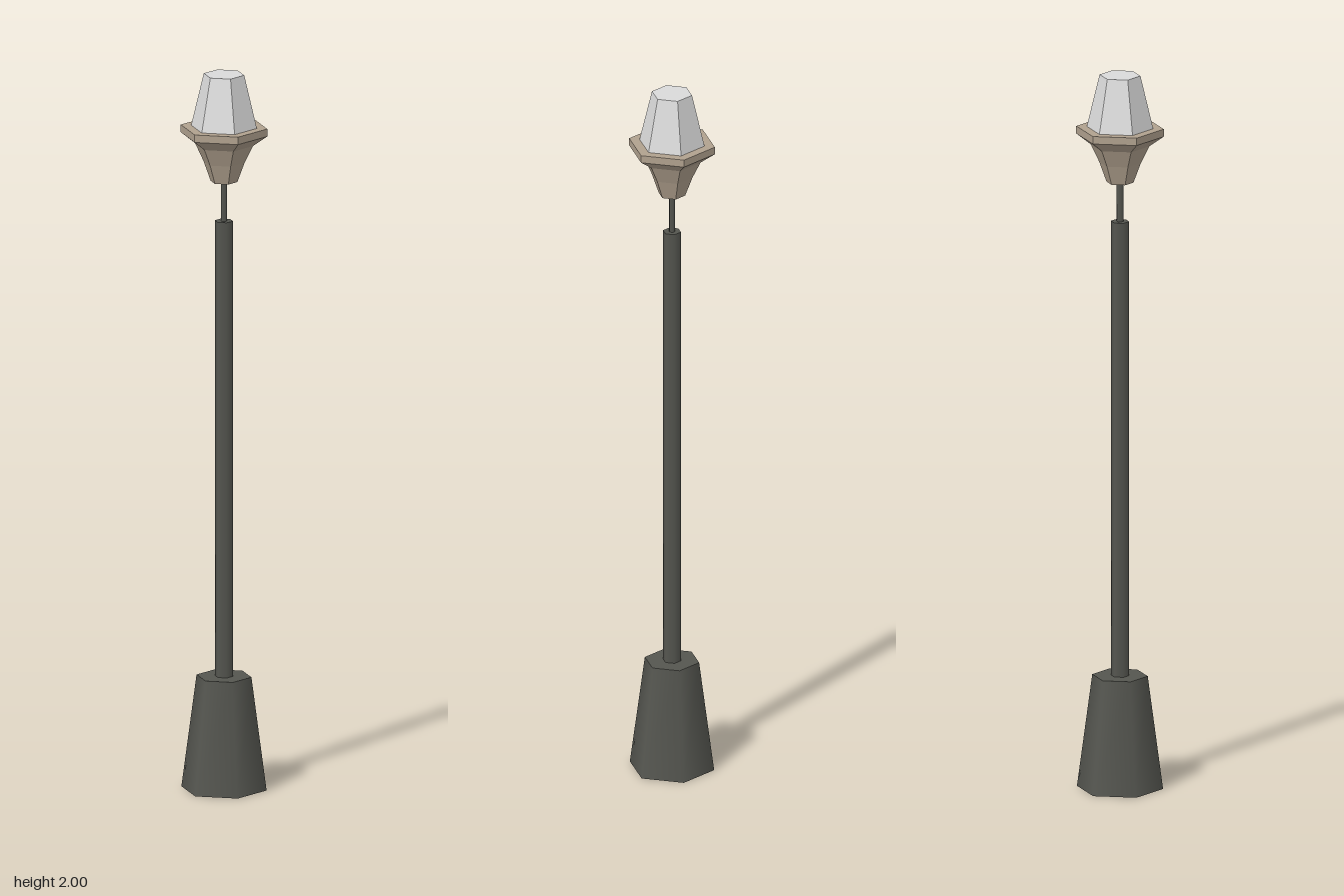
import * as THREE from 'three';

const SIDES = 6;
const TURN = Math.PI / 6; // puts hexagon corners on the x axis

export function createModel() {
  const group = new THREE.Group();
  group.name = 'streetLamp';

  const material = (name, color) => {
    const m = new THREE.MeshStandardMaterial({ color });
    m.name = name;
    return m;
  };
  const iron = material('darkIron', 0x555650);
  const bronze = material('bronze', 0xb0a18e);
  const glass = material('frostedGlass', 0xdadada);

  // Six-sided tapered section standing between two heights
  function section(name, mat, y0, y1, r0, r1, { flat = false, open = false } = {}) {
    let geo = new THREE.CylinderGeometry(r1, r0, y1 - y0, SIDES, 1, open, TURN);
    if (flat) {
      geo = geo.toNonIndexed();
      geo.computeVertexNormals();
    }
    const mesh = new THREE.Mesh(geo, mat);
    mesh.name = name;
    mesh.position.y = (y0 + y1) / 2;
    group.add(mesh);
  }

  // Post: smooth-shaded sides
  section('base', iron, 0, 0.315, 0.118, 0.076);
  section('pole', iron, 0.315, 1.59, 0.025, 0.025);
  section('neck', iron, 1.59, 1.705, 0.009, 0.009);

  // Flared holder: faceted hexagonal profile, closed top and bottom
  const profile = [
    [0, 1.7], [0.037, 1.7], [0.057, 1.755], [0.08, 1.803],
    [0.12, 1.832], [0.12, 1.853], [0, 1.853],
  ].map(([r, y]) => new THREE.Vector2(r, y));
  const holderGeo = new THREE.LatheGeometry(profile, SIDES, TURN).toNonIndexed();
  holderGeo.computeVertexNormals();
  const holder = new THREE.Mesh(holderGeo, bronze);
  holder.name = 'lampHolder';
  group.add(holder);

  // Faceted glass
  section('lampGlass', glass, 1.853, 2, 0.091, 0.056, { flat: true });

  return group;
}
